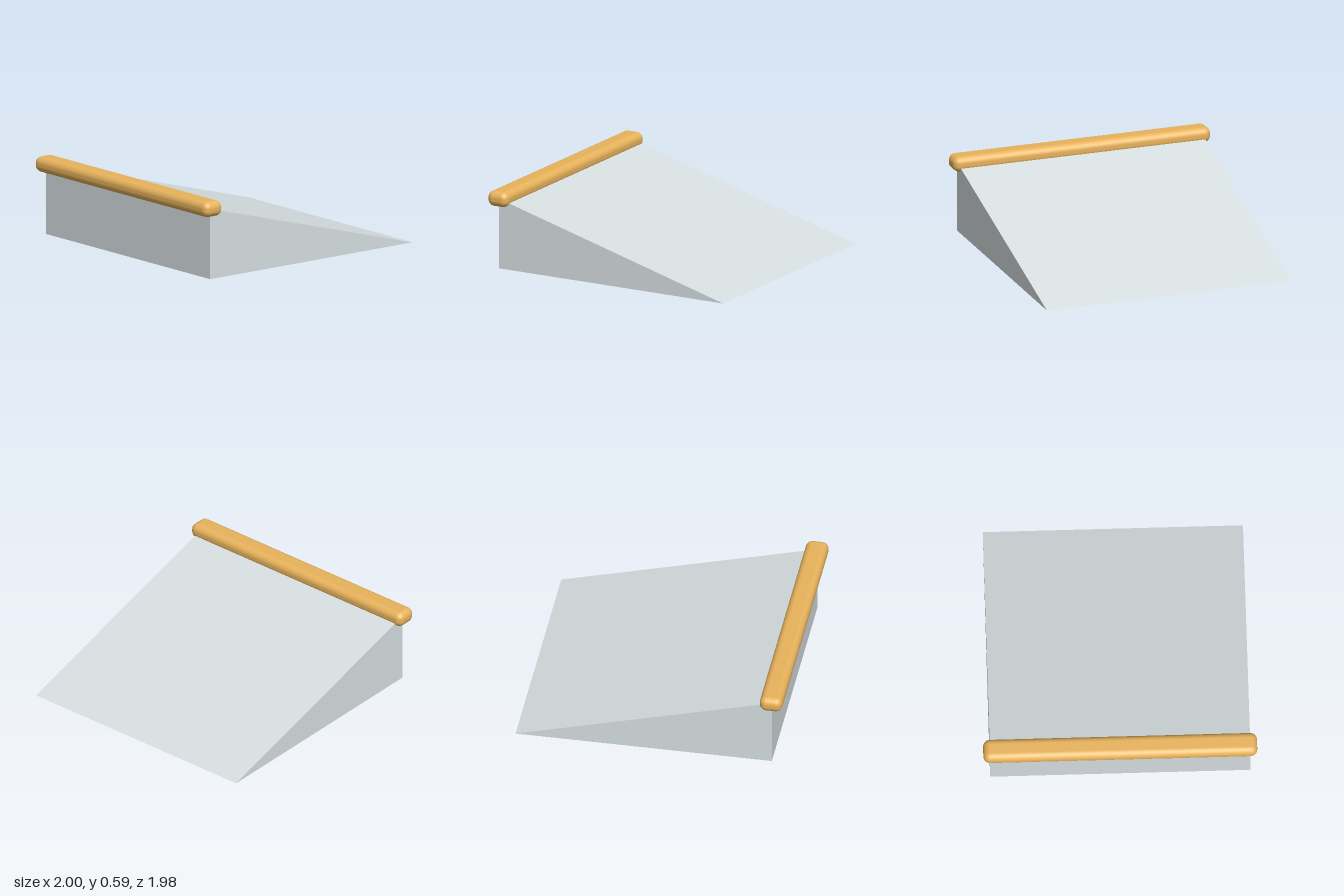
import * as THREE from 'three';
import { RoundedBoxGeometry } from 'three/addons/geometries/RoundedBoxGeometry.js';

export function createModel() {
  const model = new THREE.Group();
  model.name = 'ramp';

  // Solid wedge: side profile (z, y) extruded across the width
  const width = 1.9;
  const profile = new THREE.Shape([
    new THREE.Vector2(-0.99, 0),
    new THREE.Vector2(0.91, 0),
    new THREE.Vector2(0.91, 0.527),
  ]);
  const wedgeGeometry = new THREE.ExtrudeGeometry(profile, { depth: width, bevelEnabled: false });
  wedgeGeometry.translate(0, 0, -width / 2);
  wedgeGeometry.rotateY(-Math.PI / 2); // profile x becomes +z
  const wedge = new THREE.Mesh(wedgeGeometry, new THREE.MeshStandardMaterial({ color: 0xd6dee0 }));
  wedge.name = 'wedge';
  model.add(wedge);

  // Rounded rail along the high edge, overhanging both sides
  const rail = new THREE.Mesh(
    new RoundedBoxGeometry(2, 0.115, 0.168, 6, 0.05),
    new THREE.MeshStandardMaterial({ color: 0xe8b35c })
  );
  rail.name = 'rail';
  rail.position.set(0, 0.528, 0.906);
  model.add(rail);

  return model;
}
